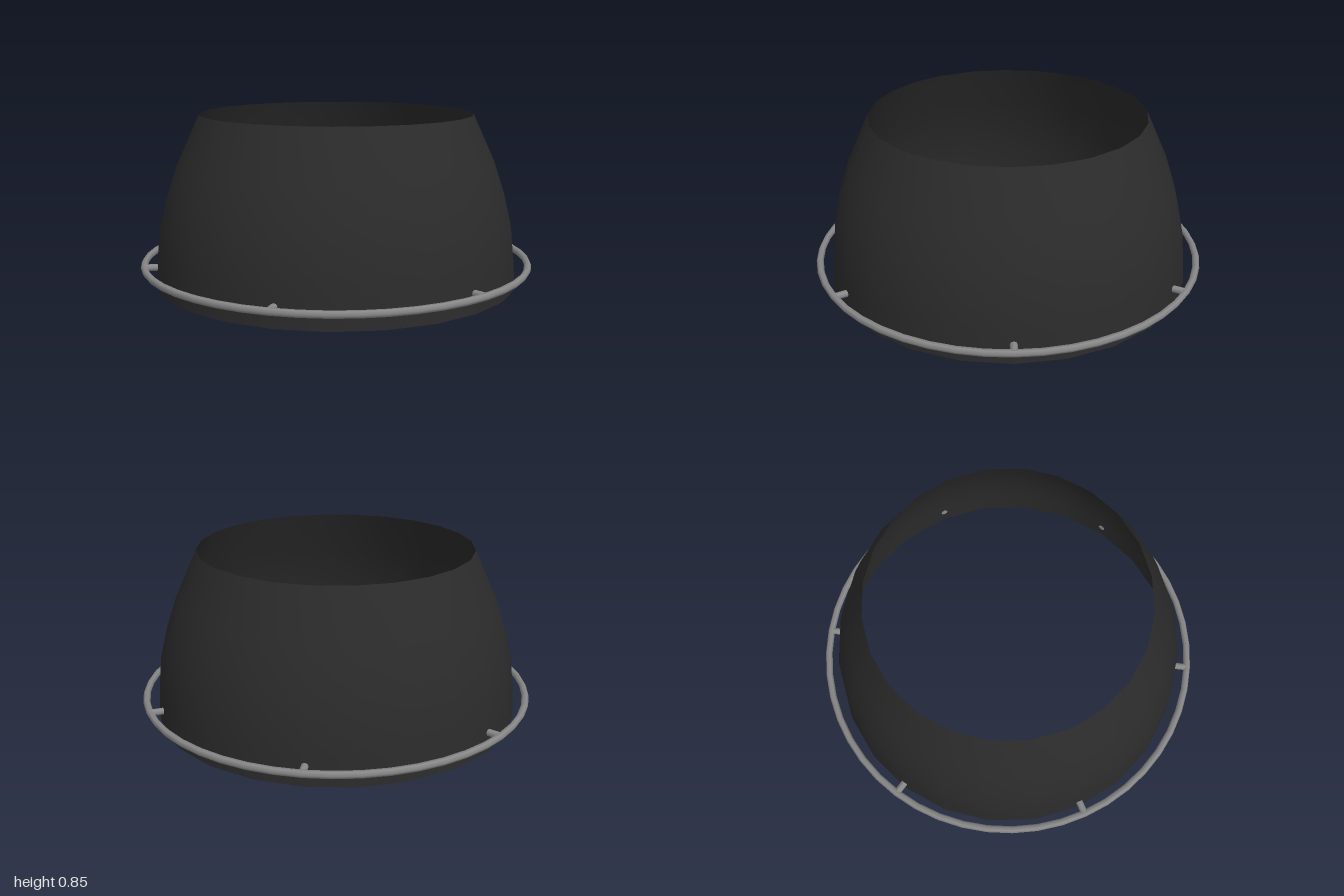
import * as THREE from 'three';

export function createModel() {
  const model = new THREE.Group();
  const shellDark = new THREE.MeshStandardMaterial({ color: 0x2b2b2b, side: THREE.DoubleSide });
  shellDark.name = 'charcoal';
  const metal = new THREE.MeshStandardMaterial({ color: 0x888888 });
  metal.name = 'grey metal';

  const ringY = 0.096, ringRadius = 0.982, tube = 0.018;

  // Open bell-shaped shell, a single thin surface
  const profile = [[0.925, 0], [0.915, 0.14], [0.9, 0.285], [0.863, 0.44], [0.806, 0.61], [0.695, 0.853]]
    .map(([r, y]) => new THREE.Vector2(r, y));
  const shell = new THREE.Mesh(new THREE.LatheGeometry(profile, 24), shellDark);
  shell.name = 'shell';
  model.add(shell);

  // Hoop around the base
  const hoop = new THREE.Mesh(new THREE.TorusGeometry(ringRadius, tube, 6, 48), metal);
  hoop.name = 'hoop';
  hoop.rotation.x = Math.PI / 2;
  hoop.position.y = ringY;
  model.add(hoop);

  // Six short struts joining hoop and shell
  const inner = 0.913;
  const strutGeometry = new THREE.CylinderGeometry(tube, tube, ringRadius - inner, 8);
  strutGeometry.rotateX(Math.PI / 2).translate(0, 0, (ringRadius + inner) / 2);
  for (let i = 0; i < 6; i++) {
    const strut = new THREE.Mesh(strutGeometry, metal);
    strut.name = `strut${i + 1}`;
    strut.position.y = ringY;
    strut.rotation.y = (i * Math.PI) / 3;
    model.add(strut);
  }
  return model;
}
